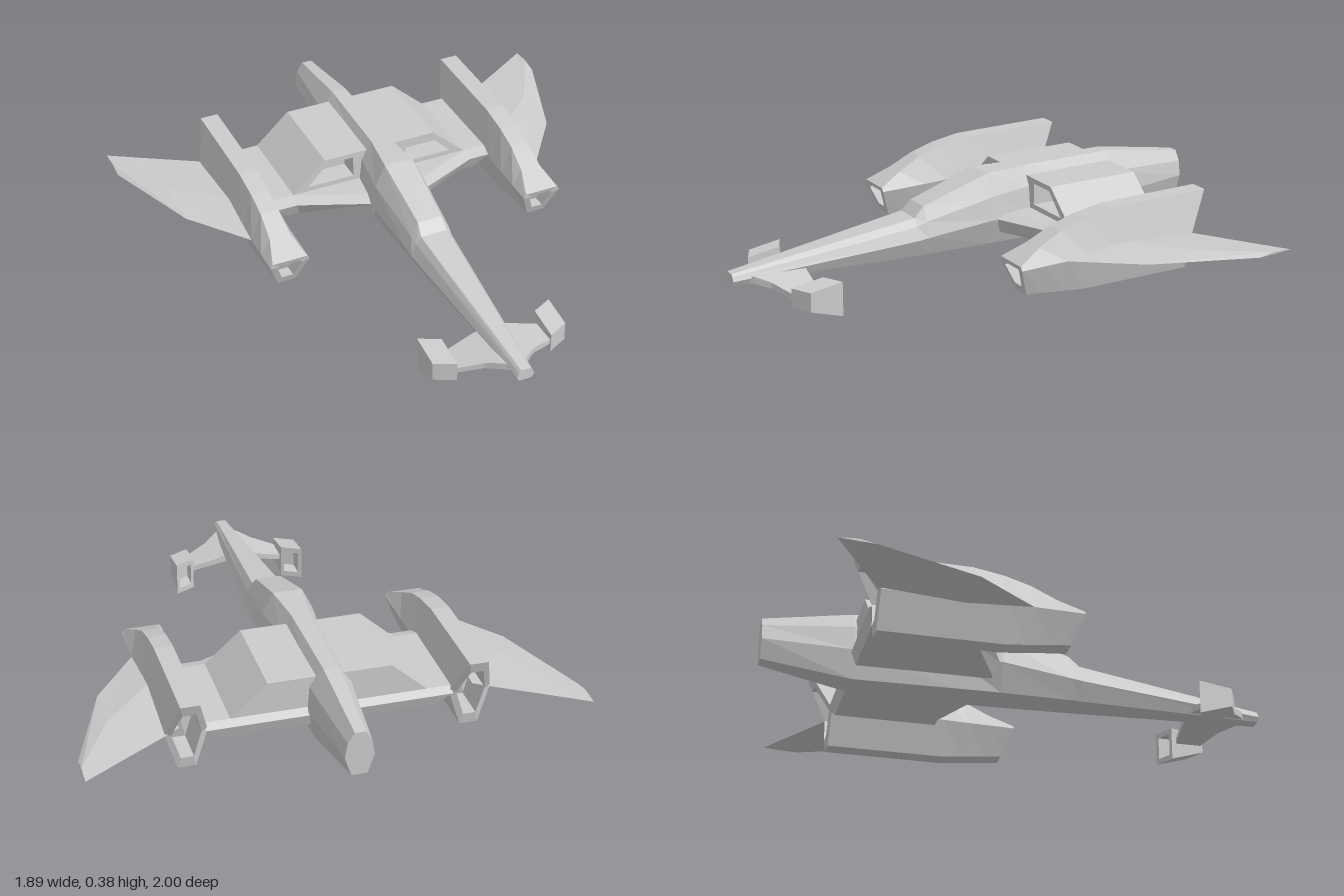
import * as THREE from 'three';

const material = new THREE.MeshStandardMaterial({ color: 0xcccccc, flatShading: true, side: THREE.DoubleSide });

// Skin a list of equal-length point rings, close both ends and face outwards
function loft(name, rings) {
  const pos = [];
  const tri = (a, b, c) => pos.push(...a, ...b, ...c);
  const n = rings[0].length;
  for (let i = 0; i < rings.length - 1; i++) {
    for (let j = 0; j < n; j++) {
      const k = (j + 1) % n;
      tri(rings[i][j], rings[i][k], rings[i + 1][k]);
      tri(rings[i][j], rings[i + 1][k], rings[i + 1][j]);
    }
  }
  const first = rings[0], last = rings[rings.length - 1];
  for (let j = 1; j < n - 1; j++) {
    tri(first[0], first[j + 1], first[j]);
    tri(last[0], last[j], last[j + 1]);
  }
  // A negative volume means the winding is inside out
  let volume = 0;
  for (let i = 0; i < pos.length; i += 9) {
    const [a, b, c] = [0, 3, 6].map(o => new THREE.Vector3().fromArray(pos, i + o));
    volume += a.dot(b.cross(c));
  }
  if (volume < 0) {
    for (let i = 0; i < pos.length; i += 9) {
      for (let k = 0; k < 3; k++) [pos[i + 3 + k], pos[i + 6 + k]] = [pos[i + 6 + k], pos[i + 3 + k]];
    }
  }
  const geometry = new THREE.BufferGeometry();
  geometry.setAttribute('position', new THREE.Float32BufferAttribute(pos, 3));
  geometry.computeVertexNormals();
  const mesh = new THREE.Mesh(geometry, material);
  mesh.name = name;
  return mesh;
}

// Left-right symmetric ring from [halfWidth, y, z] rows listed top to bottom
const symmetricRing = (rows, cx = 0) => [
  ...rows.map(([w, y, z]) => [cx + w, y, z]),
  ...rows.map(([w, y, z]) => [cx - w, y, z]).reverse(),
];

// Rings that turn the end of a loft into a framed recess
function recess(ring, scale, depth) {
  const c = [0, 1, 2].map(k => ring.reduce((sum, p) => sum + p[k], 0) / ring.length);
  const inner = ring.map(p => p.map((v, k) => c[k] + (v - c[k]) * scale));
  return [inner, inner.map(([x, y, z]) => [x, y, z + depth])];
}

function fuselage() {
  // z, then half width and height of top, shoulder, waist and bottom
  const stations = [
    [1.0, 0.018, 0.145, 0.027, 0.135, 0.035, 0.118, 0.025, 0.1],
    [0.25, 0.055, 0.245, 0.075, 0.215, 0.095, 0.165, 0.06, 0.093],
    [0.21, 0.05, 0.285, 0.08, 0.23, 0.097, 0.17, 0.062, 0.093],
    [-0.07, 0.058, 0.375, 0.1, 0.29, 0.115, 0.2, 0.07, 0.09],
    [-0.25, 0.036, 0.375, 0.078, 0.3, 0.09, 0.2, 0.07, 0.088],
    [-0.65, 0.03, 0.375, 0.078, 0.3, 0.085, 0.2, 0.06, 0.086],
    [-1.0, 0.02, 0.32, 0.045, 0.28, 0.055, 0.22, 0.03, 0.145],
  ];
  return loft('fuselage', stations.map(([z, ...s]) =>
    symmetricRing([0, 2, 4, 6].map(i => [s[i], s[i + 1], z]))));
}

function centreWing() {
  // x at the edge, x at the underside, leading edge z
  const half = [[0.1, 0.1, -0.08], [0.38, 0.36, -0.2], [0.47, 0.41, -0.2]];
  const all = [...half.map(([x, u, z]) => [-x, -u, z]).reverse(), ...half];
  return loft('centreWing', all.map(([x, u, z]) => [
    [x, 0.2, z], [x, 0.215, z - 0.05], [x, 0.215, -0.64],
    [x, 0.19, -0.66], [u, 0.14, -0.64], [u, 0.14, z - 0.03],
  ]));
}

function airIntake(s) {
  const group = new THREE.Group();
  group.name = 'airIntake';
  const outline = pts => pts.map(([x, y]) => new THREE.Vector2(s * x, y));
  const outer = [[0.05, 0.2], [0.39, 0.2], [0.235, 0.34], [0.05, 0.34]];
  const hole = [[0.115, 0.235], [0.31, 0.235], [0.225, 0.32], [0.115, 0.32]];
  const add = (name, shape, depth, z) => {
    const mesh = new THREE.Mesh(new THREE.ExtrudeGeometry(shape, { depth, bevelEnabled: false }), material);
    mesh.name = name;
    mesh.position.z = z;
    group.add(mesh);
  };
  const frame = new THREE.Shape(outline(outer));
  frame.holes.push(new THREE.Path(outline(hole)));
  add('intakeFrame', frame, 0.09, -0.34);
  add('intakeHousing', new THREE.Shape(outline(outer)), 0.3, -0.64);
  return group;
}

function engineNacelle(s) {
  // half width, y, z for the top, waist and keel of each section
  const sections = [
    [[0.07, 0.197, 0.115], [0.08, 0.183, 0.115], [0.037, 0.07, 0.07]],
    [[0.042, 0.245, 0.02], [0.08, 0.185, 0.02], [0.036, 0.064, 0]],
    [[0.036, 0.295, -0.08], [0.08, 0.187, -0.08], [0.035, 0.053, -0.1]],
    [[0.036, 0.325, -0.18], [0.08, 0.19, -0.18], [0.035, 0.045, -0.18]],
    [[0.036, 0.345, -0.3], [0.08, 0.19, -0.3], [0.035, 0.045, -0.3]],
    [[0.036, 0.35, -0.73], [0.08, 0.19, -0.645], [0.035, 0.045, -0.65]],
  ];
  const rings = sections.map(rows => symmetricRing(rows, s * 0.54));
  const front = recess(rings[0], 0.62, -0.05).reverse();
  const back = recess(rings[rings.length - 1], 0.7, 0.14);
  return loft('engineNacelle', [...front, ...rings, ...back]);
}

function outerWing(s) {
  // x, leading edge z, trailing edge z, half thickness
  const stations = [
    [0.56, -0.02, -0.62, 0.022], [0.62, -0.08, -0.66, 0.02],
    [0.8, -0.32, -0.77, 0.012], [0.945, -0.72, -0.86, 0.005],
  ];
  return loft('outerWing', stations.map(([x, lead, trail, t]) => {
    const y = 0.195, mid = lead + (trail - lead) * 0.45;
    return [[s * x, y - 0.008, lead], [s * x, y + t, mid], [s * x, y, trail], [s * x, y - t, mid]];
  }));
}

function canard(s) {
  // x, y, leading edge z, trailing edge z, half thickness
  const stations = [
    [0.0, 0.118, 0.96, 0.7, 0.014], [0.05, 0.115, 0.92, 0.715, 0.014],
    [0.1, 0.102, 0.875, 0.718, 0.012], [0.205, 0.075, 0.825, 0.73, 0.01],
  ];
  return loft('canard', stations.map(([x, y, lead, trail, t]) => [
    [s * x, y + t, lead], [s * x, y + t, trail], [s * x, y - t, trail], [s * x, y - t, lead],
  ]));
}

function canardPod(s) {
  // Swept wedge, deeper and open at the back
  const end = (zIn, zOut, low, high) => [
    [s * 0.192, low, zIn], [s * 0.272, low, zOut], [s * 0.272, high, zOut], [s * 0.192, high, zIn],
  ];
  const front = end(0.84, 0.8, 0.04, 0.115);
  const back = end(0.71, 0.67, 0, 0.135);
  return loft('canardPod', [front, back, ...recess(back, 0.68, 0.07)]);
}

export function createModel() {
  const model = new THREE.Group();
  model.name = 'spacecraft';
  model.add(fuselage(), centreWing());
  for (const s of [1, -1]) {
    const side = new THREE.Group();
    side.name = s > 0 ? 'leftSide' : 'rightSide';
    side.add(airIntake(s), engineNacelle(s), outerWing(s), canard(s), canardPod(s));
    model.add(side);
  }
  return model;
}
